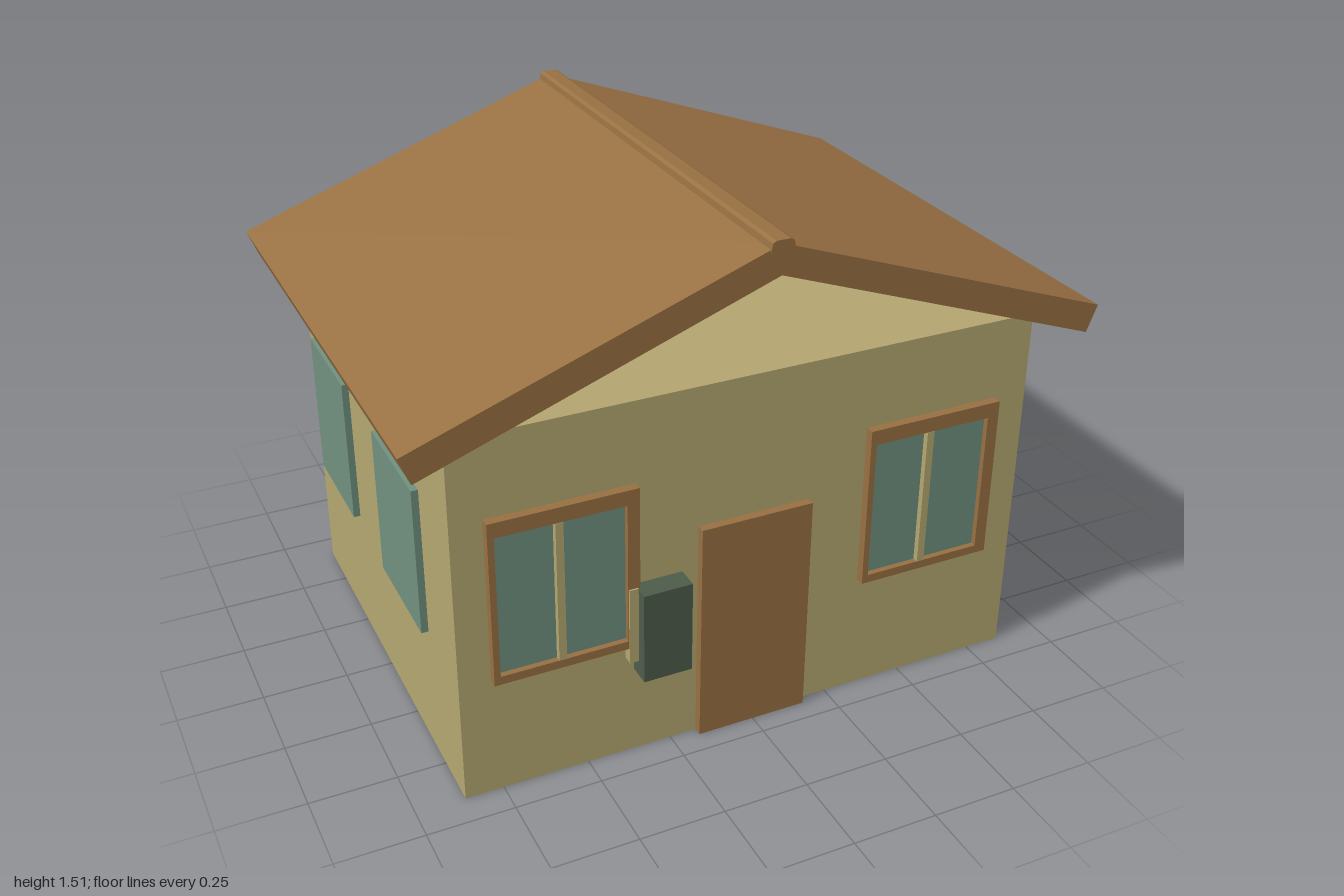
import * as THREE from 'three';

const mat = (name, color) => Object.assign(new THREE.MeshStandardMaterial({ color }), { name });

export function createModel() {
  const plaster = mat('plaster', 0xb5a771);
  const wood = mat('brown wood', 0x987042);
  const glass = mat('teal glass', 0x71917f);
  const darkGreen = mat('dark green', 0x4d5c4b);

  const house = new THREE.Group();
  house.name = 'house';

  const add = (parent, name, geometry, material) => {
    const mesh = new THREE.Mesh(geometry, material);
    mesh.name = name;
    parent.add(mesh);
    return mesh;
  };
  // Box given by its lower and upper corner
  const box = (parent, name, material, [x0, y0, z0], [x1, y1, z1]) =>
    add(parent, name, new THREE.BoxGeometry(x1 - x0, y1 - y0, z1 - z0), material)
      .position.set((x0 + x1) / 2, (y0 + y1) / 2, (z0 + z1) / 2);
  // Prism along z from an outline (and an optional hole)
  const prism = (points, z0, z1, hole) => {
    const toVectors = (list) => list.map(([x, y]) => new THREE.Vector2(x, y));
    const shape = new THREE.Shape(toVectors(points));
    if (hole) shape.holes.push(new THREE.Path(toVectors(hole)));
    return new THREE.ExtrudeGeometry(shape, { depth: z1 - z0, bevelEnabled: false }).translate(0, 0, z0);
  };
  const rect = (x0, y0, x1, y1) => [[x0, y0], [x1, y0], [x1, y1], [x0, y1]];

  // Walls, topped by a low pyramid whose slopes close the gables
  box(house, 'walls', plaster, [-0.86, 0, -0.66], [0.86, 1.1, 0.66]);
  const attic = new THREE.ConeGeometry(Math.SQRT1_2, 0.3, 4, 1, true)
    .rotateY(Math.PI / 4)
    .scale(1.72, 1, 1.32)
    .translate(0, 1.25, 0)
    .toNonIndexed();
  attic.computeVertexNormals();
  add(house, 'gables', attic, plaster);

  // Two-sided roof slab with a ridge cap
  const roofOutline = [
    [0, 1.5], [-1, 1.14], [-0.97, 1.063], [0, 1.415], [0.97, 1.063], [1, 1.14],
  ];
  add(house, 'roof', prism(roofOutline, -0.757, 0.757), wood);
  const capOutline = [[-0.035, 1.48], [0.035, 1.48], [0.03, 1.505], [0.02, 1.511], [-0.02, 1.511], [-0.03, 1.505]];
  add(house, 'ridgeCap', prism(capOutline, -0.76, 0.76), wood);

  // Front door
  box(house, 'door', wood, [-0.17, 0, 0.65], [0.165, 0.68, 0.686]);

  // Framed front windows with a centre bar
  for (const [name, x] of [['rightFrontWindow', -0.77], ['leftFrontWindow', 0.34]]) {
    const group = new THREE.Group();
    group.name = name;
    house.add(group);
    const outer = rect(x, 0.365, x + 0.417, 0.86);
    const opening = rect(x + 0.018, 0.39, x + 0.382, 0.815);
    add(group, 'frame', prism(outer, 0.65, 0.687, opening), wood);
    box(group, 'pane', glass, [x + 0.01, 0.38, 0.655], [x + 0.39, 0.82, 0.67]);
    box(group, 'centreBar', plaster, [x + 0.182, 0.39, 0.66], [x + 0.204, 0.815, 0.688]);
  }

  // Wall box beside the door, with a backing strip
  box(house, 'wallBox', darkGreen, [-0.36, 0.272, 0.65], [-0.217, 0.55, 0.726]);
  box(house, 'wallBoxStrip', plaster, [-0.386, 0.32, 0.65], [-0.36, 0.555, 0.692]);

  // Plain side windows, two on each side
  for (const side of [-1, 1]) {
    for (const [z0, z1] of [[0.068, 0.42], [-0.57, -0.228]]) {
      const [x0, x1] = [0.85 * side, 0.88 * side].sort((a, b) => a - b);
      box(house, 'sideWindow', glass, [x0, 0.392, z0], [x1, 0.838, z1]);
    }
  }
  return house;
}
